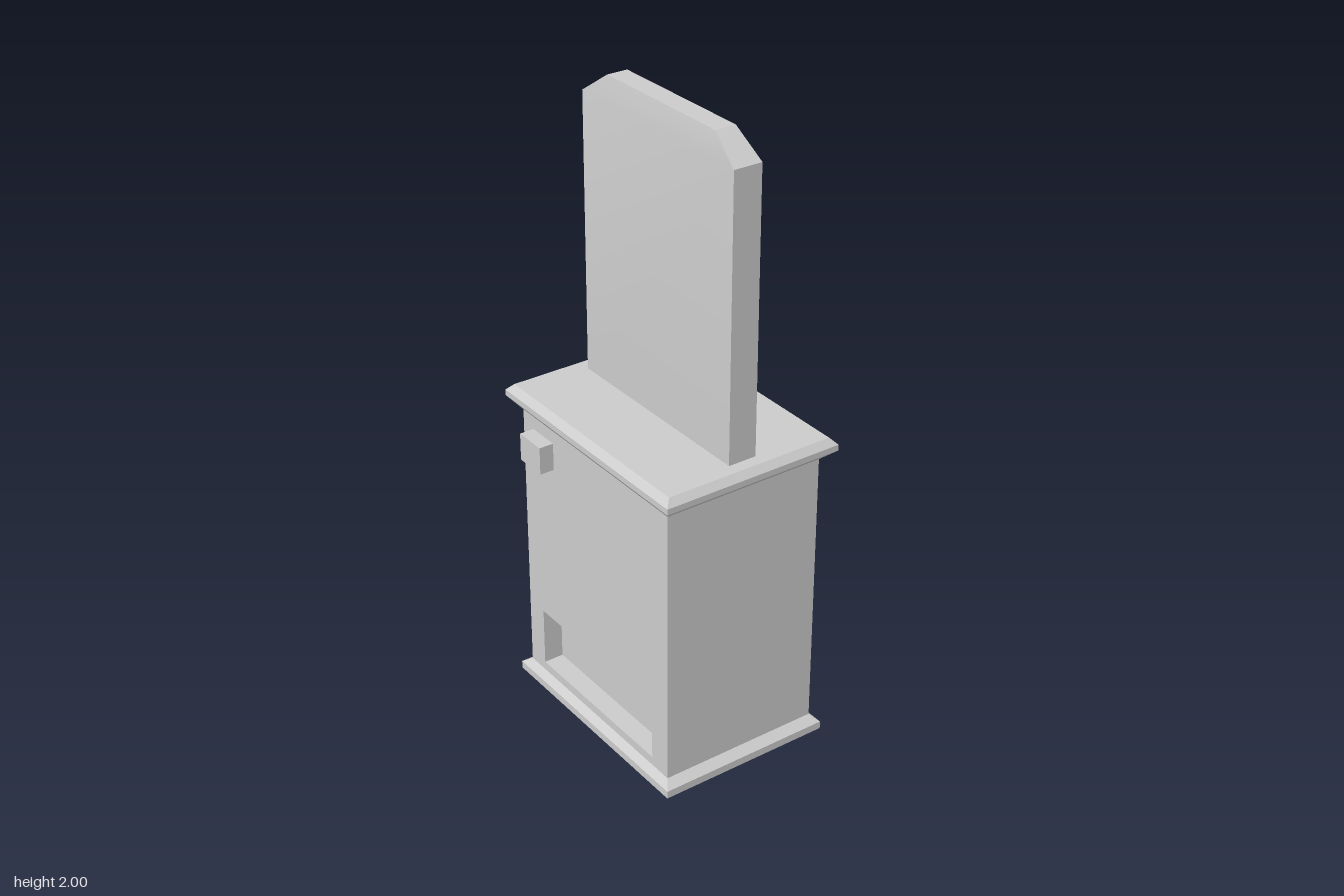
import * as THREE from 'three';
import { mergeGeometries, toCreasedNormals } from 'three/addons/utils/BufferGeometryUtils.js';

const CZ = -0.007; // depth centre of the cabinet

// Closed solid through horizontal rectangles [y, x0, x1, z0, z1], bottom to top
function loft(rings) {
  const pos = [];
  const corners = rings.map(([y, x0, x1, z0, z1]) =>
    [[x0, y, z1], [x1, y, z1], [x1, y, z0], [x0, y, z0]]);
  const quad = (a, b, c, d) => [a, b, c, a, c, d].forEach(p => pos.push(...p));
  for (let i = 0; i + 1 < corners.length; i++) {
    const lo = corners[i], hi = corners[i + 1];
    for (let k = 0; k < 4; k++) {
      const n = (k + 1) % 4;
      quad(lo[k], lo[n], hi[n], hi[k]);
    }
  }
  const [a, b, c, d] = corners[0];
  quad(d, c, b, a);
  quad(...corners[corners.length - 1]);
  const g = new THREE.BufferGeometry();
  g.setAttribute('position', new THREE.Float32BufferAttribute(pos, 3));
  g.computeVertexNormals();
  return g;
}

// Centred cabinet ring: height, half width, half depth
const ring = (y, hx, hz) => [y, -hx, hx, CZ - hz, CZ + hz];

function rectPoints(x0, x1, y0, y1) {
  return [[x0, y0], [x1, y0], [x1, y1], [x0, y1]].map(p => new THREE.Vector2(...p));
}

// Rectangular slab with a rectangular opening, between two depths
function frame(outer, hole, z0, z1) {
  const shape = new THREE.Shape(rectPoints(...outer));
  shape.holes.push(new THREE.Path(rectPoints(...hole).reverse()));
  const g = new THREE.ExtrudeGeometry(shape, { depth: z1 - z0, bevelEnabled: false });
  g.translate(0, 0, z0);
  g.deleteAttribute('uv');
  return g;
}

export function createModel() {
  const group = new THREE.Group();
  const material = new THREE.MeshStandardMaterial({ color: 0xcccccc });
  const add = (name, ...parts) => {
    const mesh = new THREE.Mesh(toCreasedNormals(mergeGeometries(parts), 0.5), material);
    mesh.name = name;
    group.add(mesh);
  };

  // Plinth with a bevelled upper edge
  add('basePlinth', loft([ring(0, 0.4, 0.289), ring(0.025, 0.4, 0.289), ring(0.046, 0.37, 0.267)]));

  // Cabinet: solid rear and a front layer holding the dispensing tray opening
  const front = CZ + 0.267, recess = front - 0.065;
  add('cabinetBody',
    loft([0.046, 0.958].map(y => [y, -0.37, 0.37, CZ - 0.267, recess])),
    frame([-0.37, 0.37, 0.046, 0.958], [-0.295, 0.292, 0.075, 0.27], recess, front));

  // Flared cornice
  add('cornice', loft([
    ring(0.958, 0.37, 0.267), ring(0.997, 0.415, 0.3),
    ring(1.016, 0.415, 0.3), ring(1.037, 0.395, 0.28)]));

  // Coin box on the front
  add('coinBox', loft([0.825, 0.915].map(y => [y, -0.317, -0.21, front - 0.01, 0.307])));

  // Upright sign: solid front, recessed back and a tapered crown
  const x0 = -0.35, x1 = 0.356, zBack = -0.053, zFront = 0.04, zRecess = -0.027;
  add('signBoard',
    loft([1.037, 1.926].map(y => [y, x0, x1, zRecess, zFront])),
    frame([x0, x1, 1.037, 1.926], [x0 + 0.04, x1 - 0.04, 1.085, 1.872], zBack, zRecess),
    loft([[1.926, x0, x1, zBack, zFront], [2, -0.244, 0.255, -0.041, 0.026]]));

  return group;
}
